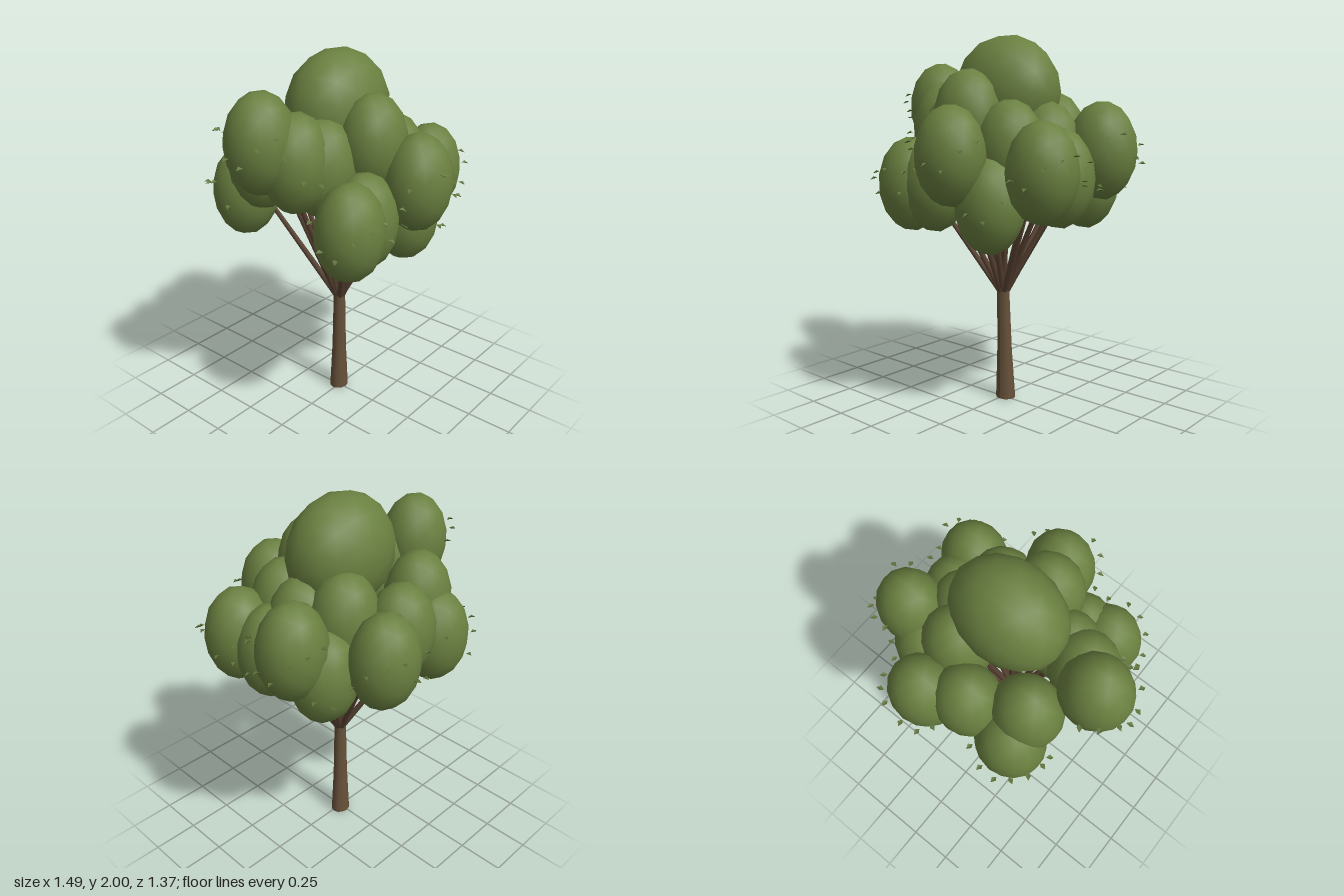
import * as THREE from 'three';

const mat = (name, color, extra = {}) =>
  Object.assign(new THREE.MeshStandardMaterial({ color, ...extra }), { name });

// Leaf clumps: centre x, y, z; the outer ones carry small loose leaves
const OUTER = [
  [-0.52, 1.62, -0.05], [-0.30, 1.25, -0.40], [0.185, 1.33, -0.48],
  [0.505, 1.40, -0.19], [0.465, 1.31, 0.255], [0.055, 1.385, 0.46],
  [-0.345, 1.215, 0.35], [0.42, 1.27, 0.06], [0.18, 1.14, 0.31],
  [-0.39, 1.51, 0.05], [0.36, 1.23, -0.25], [-0.20, 1.22, 0.32],
];
const INNER = [
  [-0.30, 1.43, -0.27], [-0.03, 1.38, -0.39], [0.18, 1.45, -0.21],
  [0.28, 1.40, -0.02], [0.21, 1.41, 0.19], [-0.03, 1.565, 0.24],
  [-0.25, 1.46, 0.10],
];
const CLUMP = [0.187, 0.255, 0.171];
const FORK = new THREE.Vector3(0, 0.62, 0);

// Tapered round limb between two points
function limb(name, a, b, ra, rb, sides, material) {
  const dir = b.clone().sub(a);
  const mesh = new THREE.Mesh(new THREE.CylinderGeometry(rb, ra, dir.length(), sides), material);
  mesh.position.copy(a).add(b).multiplyScalar(0.5);
  mesh.quaternion.setFromUnitVectors(new THREE.Vector3(0, 1, 0), dir.normalize());
  mesh.name = name;
  return mesh;
}

// Trunk: rings stacked along a slightly leaning, tapering path
function trunkGeometry() {
  const rings = [[0, 0.057], [0.28, 0.043], [0.64, 0.035]];
  const geo = new THREE.CylinderGeometry(1, 1, 2, 12, 2);
  const p = geo.attributes.position;
  for (let i = 0; i < p.count; i++) {
    const [y, r] = rings[Math.round(p.getY(i)) + 1];
    const lean = 1 - y / 0.64;
    p.setXYZ(i, p.getX(i) * r + 0.01 * lean, y, p.getZ(i) * r * 0.9 - 0.01 * lean);
  }
  geo.computeVertexNormals();
  return geo;
}

// Small diamond leaf folded along its middle
function leafGeometry() {
  const geo = new THREE.BufferGeometry();
  geo.setAttribute('position', new THREE.Float32BufferAttribute(
    [0, 0, -0.02, 0.014, 0.008, 0, 0, -0.004, 0.02, -0.014, 0.008, 0], 3));
  geo.setIndex([0, 2, 1, 0, 3, 2]);
  geo.computeVertexNormals();
  return geo;
}

export function createModel() {
  const bark = mat('trunk brown', 0x665139);
  const twig = mat('branch brown', 0x5a4333);
  const green = mat('foliage green', 0x6a8040);
  const leafGreen = mat('leaf green', 0x5f733a, { side: THREE.DoubleSide });
  const tree = new THREE.Group();
  tree.name = 'tree';

  const trunk = new THREE.Mesh(trunkGeometry(), bark);
  trunk.name = 'trunk';
  tree.add(trunk);

  // Foliage and the branches that carry it
  const foliage = new THREE.Group();
  foliage.name = 'foliage';
  const branches = new THREE.Group();
  branches.name = 'branches';
  const ball = new THREE.IcosahedronGeometry(1, 2);
  const addClump = (name, c, size) => {
    const mesh = new THREE.Mesh(ball, green);
    mesh.name = name;
    mesh.position.set(...c);
    mesh.scale.set(...size);
    foliage.add(mesh);
    const tip = new THREE.Vector3(c[0] * 0.85, c[1], c[2] * 0.85);
    const start = FORK.clone().add(new THREE.Vector3(c[0] * 0.04, 0, c[2] * 0.04));
    branches.add(limb('branch', start, tip, 0.018, 0.011, 6, twig));
  };
  addClump('crownTop', [0.01, 1.70, -0.02], [0.312, 0.302, 0.24]);
  OUTER.forEach((c) => addClump('outerClump', c, CLUMP));
  INNER.forEach((c) => addClump('innerClump', c, CLUMP));
  tree.add(branches, foliage);

  // Loose leaves hovering around the outward side of each outer clump
  const leaves = new THREE.Group();
  leaves.name = 'leaves';
  const leafGeo = leafGeometry();
  OUTER.forEach((c, k) => {
    const outward = Math.atan2(c[2], c[0]);
    for (let i = 0; i < 7; i++) {
      const a = outward + (i - 3) * 0.42;
      const leaf = new THREE.Mesh(leafGeo, leafGreen);
      leaf.name = 'leaf';
      leaf.position.set(
        c[0] + Math.cos(a) * (CLUMP[0] + 0.025),
        c[1] + [0.07, -0.03, 0.03, 0.09, -0.06][(i * 2 + k) % 5],
        c[2] + Math.sin(a) * (CLUMP[2] + 0.025));
      leaf.rotation.set(0.25, Math.PI / 2 - a + 0.5 * Math.sin(i * 2.3 + k), 0);
      leaves.add(leaf);
    }
  });
  tree.add(leaves);
  return tree;
}
